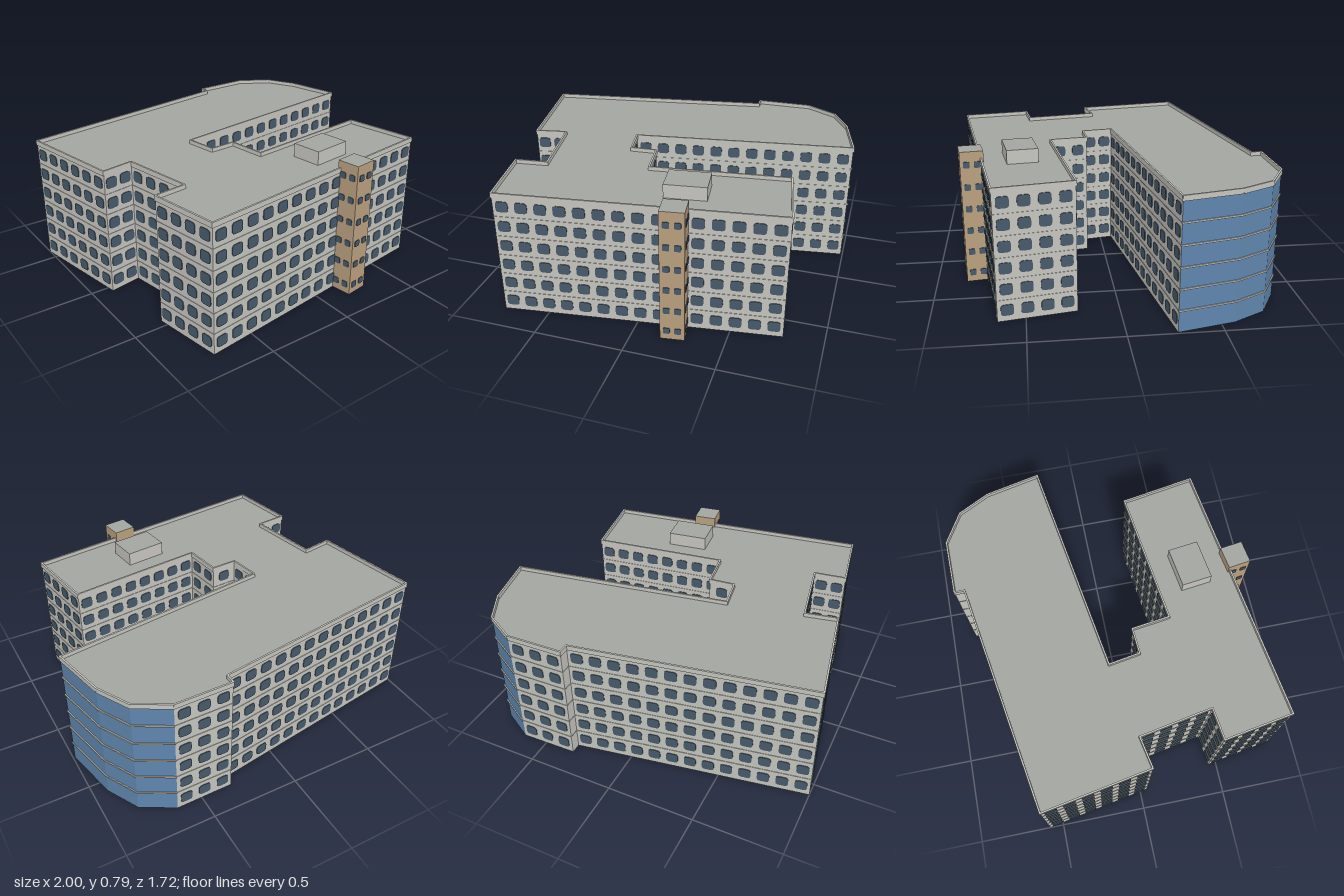
import * as THREE from 'three';
import { mergeGeometries } from 'three/addons/utils/BufferGeometryUtils.js';

const mat = (name, color) => {
  const m = new THREE.MeshStandardMaterial({ color, side: THREE.DoubleSide });
  m.name = name;
  return m;
};

const FLOORS = 6, FLOOR_H = 0.1185, EAVES = 0.71, TOP = 0.735;

// Footprint corners [x, z], running clockwise as seen from above
const FOOTPRINT = [
  [-1, -0.58], [0.32, -0.795], [0.32, -0.853], [0.645, -0.858], [0.825, -0.755], [0.92, -0.575],
  [0.99, -0.26], [-0.28, -0.07], [-0.25, 0.11], [-0.1, 0.1], [-0.07, 0.32], [0.71, 0.225],
  [0.782, 0.648], [-0.752, 0.85], [-0.818, 0.452], [-0.635, 0.43], [-0.71, 0.01], [-0.89, 0.043],
];
const GLASS_EDGES = [3, 4, 5];
const TOWER = [[0.14, 0.72], [0.27, 0.7], [0.288, 0.83], [0.158, 0.848]];
const PLANT_ROOM = [[0.08, 0.43], [0.31, 0.4], [0.332, 0.573], [0.102, 0.603]];

// Edges of an outline: midpoint, length and the turn that faces local +z outward
function edges(points) {
  return points.map(([x0, z0], i) => {
    const [x1, z1] = points[(i + 1) % points.length];
    const dx = x1 - x0, dz = z1 - z0;
    return { x: (x0 + x1) / 2, z: (z0 + z1) / 2, len: Math.hypot(dx, dz), turn: Math.atan2(dz, -dx) };
  });
}

// Place a geometry on an edge: u along it, y up, out away from the wall
const onEdge = (geo, e, u, y, out = 0) =>
  geo.translate(u, y, out).rotateY(e.turn).translate(e.x, 0, e.z);

// Flat surface filling an outline
function slab(points, y) {
  const shape = new THREE.Shape(points.map(([x, z]) => new THREE.Vector2(x, -z)));
  return new THREE.ShapeGeometry(shape).rotateX(-Math.PI / 2).translate(0, y, 0);
}

// Thin window plate with rounded corners, showing on both sides of its wall
function windowPlate(w, h, r) {
  const s = new THREE.Shape();
  const a = w / 2, b = h / 2;
  s.moveTo(-a + r, -b);
  s.lineTo(a - r, -b);
  s.quadraticCurveTo(a, -b, a, -b + r);
  s.lineTo(a, b - r);
  s.quadraticCurveTo(a, b, a - r, b);
  s.lineTo(-a + r, b);
  s.quadraticCurveTo(-a, b, -a, b - r);
  s.lineTo(-a, -b + r);
  s.quadraticCurveTo(-a, -b, -a + r, -b);
  return new THREE.ExtrudeGeometry(s, { depth: 0.008, bevelEnabled: false, curveSegments: 3 })
    .translate(0, 0, -0.004);
}

export function createModel() {
  const concrete = mat('concrete', 0xc6c5bf);
  const roofGrey = mat('roof grey', 0xa3a5a1);
  const windowBlue = mat('window blue', 0x475a6b);
  const glassBlue = mat('glass blue', 0x5f86ae);
  const tan = mat('tan cladding', 0xb9a07f);

  const model = new THREE.Group();
  model.name = 'building';
  const add = (name, geos, material) => {
    const mesh = new THREE.Mesh(mergeGeometries(geos), material);
    mesh.name = name;
    model.add(mesh);
  };

  const walls = [], ledges = [], windows = [], glass = [], slabEdges = [], parapet = [];
  const pane = windowPlate(0.068, 0.062, 0.018);

  edges(FOOTPRINT).forEach((e, i) => {
    const isGlass = GLASS_EDGES.includes(i);

    // Wall surface and parapet rim
    (isGlass ? glass : walls).push(onEdge(new THREE.PlaneGeometry(e.len, EAVES), e, 0, EAVES / 2));
    parapet.push(onEdge(new THREE.BoxGeometry(e.len + 0.006, TOP - EAVES + 0.004, 0.01), e, 0, (TOP + EAVES - 0.004) / 2));

    // Floor lines
    for (let f = 1; f < FLOORS; f++) {
      const y = f * FLOOR_H + 0.002;
      if (isGlass) slabEdges.push(onEdge(new THREE.BoxGeometry(e.len + 0.004, 0.009, 0.012), e, 0, y));
      else ledges.push(onEdge(new THREE.BoxGeometry(e.len + 0.002, 0.003, 0.005), e, 0, y));
    }

    // Evenly spaced windows
    if (isGlass || e.len < 0.1) return;
    const n = Math.round(e.len / 0.103), pitch = e.len / n;
    for (let f = 0; f < FLOORS; f++)
      for (let k = 0; k < n; k++)
        windows.push(onEdge(pane.clone(), e, (k - (n - 1) / 2) * pitch, 0.063 + f * FLOOR_H));
  });

  add('outerWalls', walls, concrete);
  add('floorLedges', ledges, concrete);
  add('windows', windows, windowBlue);
  add('curvedGlassWall', glass, glassBlue);
  add('glassWallFloorEdges', slabEdges, concrete);
  add('parapet', parapet, concrete);
  add('mainRoof', [slab(FOOTPRINT, EAVES + 0.002)], roofGrey);

  // Stair tower on the front, with small paired windows
  const towerTop = 0.775, towerWalls = [], towerWindows = [];
  const smallPane = windowPlate(0.036, 0.036, 0.008);
  edges(TOWER).forEach((e, i) => {
    towerWalls.push(onEdge(new THREE.PlaneGeometry(e.len, towerTop), e, 0, towerTop / 2));
    if (i === 0) return;
    for (let f = 0; f < FLOORS; f++)
      for (const u of [-0.03, 0.03])
        towerWindows.push(onEdge(smallPane.clone(), e, u, 0.055 + f * 0.129));
  });
  add('stairTowerWalls', towerWalls, tan);
  add('stairTowerWindows', towerWindows, windowBlue);
  add('stairTowerRoof', [slab(TOWER, towerTop)], roofGrey);

  // Plant room on the roof
  const plantTop = 0.79, plantH = plantTop - EAVES;
  add('plantRoomWalls', edges(PLANT_ROOM).map(e =>
    onEdge(new THREE.PlaneGeometry(e.len, plantH), e, 0, EAVES + plantH / 2)), concrete);
  add('plantRoomRoof', [slab(PLANT_ROOM, plantTop)], roofGrey);

  return model;
}
